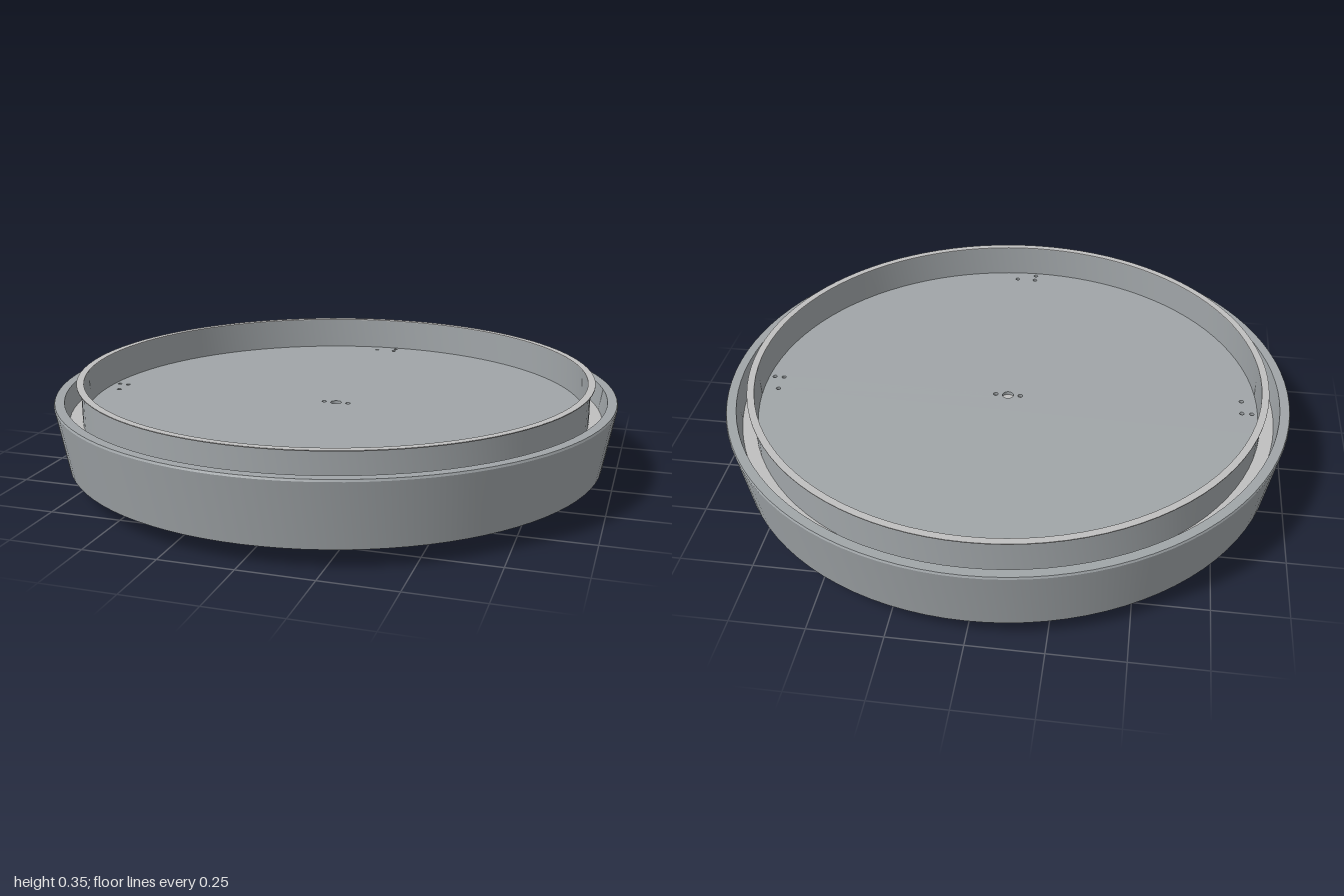
import * as THREE from 'three';
import { toCreasedNormals } from 'three/addons/utils/BufferGeometryUtils.js';

const SEG = 96;

export function createModel() {
  const model = new THREE.Group();
  model.name = 'roundTrayLamp';

  const metal = new THREE.MeshStandardMaterial({ color: 0xa0a5a8 });
  metal.name = 'blue grey metal';
  const pale = new THREE.MeshStandardMaterial({ color: 0xbfbfbf });
  pale.name = 'pale grey';

  const add = (name, geometry, material, y = 0) => {
    const mesh = new THREE.Mesh(geometry, material);
    mesh.name = name;
    mesh.position.y = y;
    model.add(mesh);
    return mesh;
  };

  // Profiles run up the outside and back down the inside
  const turned = (points) => toCreasedNormals(
    new THREE.LatheGeometry(points.map(([r, y]) => new THREE.Vector2(r, y)), SEG), 0.4);

  // Flared outer ring
  add('outerRing', turned([
    [0.925, 0.065], [0.96, 0.065], [1.0, 0.288], [0.997, 0.295],
    [0.964, 0.295], [0.925, 0.065],
  ]), metal);

  // Sloped reflector with a flat ceiling, closing the gap inside the ring
  add('reflector', turned([
    [0, 0.21], [0.8, 0.21], [0.923, 0.067], [0.925, 0.067],
    [0.951, 0.22], [0, 0.22],
  ]), pale);

  // Upright tray wall
  add('trayWall', turned([
    [0.895, 0.22], [0.905, 0.22], [0.905, 0.352], [0.895, 0.352], [0.895, 0.22],
  ]), metal);

  // Thin lip on top of the tray wall
  add('trayLip', turned([
    [0.895, 0.352], [0.92, 0.352], [0.92, 0.355], [0.895, 0.355], [0.895, 0.352],
  ]), pale);

  // Tray floor with screw holes: [x, z, radius]
  const holes = [[0, 0, 0.02], [-0.045, 0, 0.009], [0.045, 0, 0.009]];
  for (let i = 0; i < 4; i++) {
    const a = i * Math.PI / 2, c = Math.round(Math.cos(a)), s = Math.round(Math.sin(a));
    for (const [x, z] of [[0.84, 0], [0.875, 0], [0.84, -0.073]]) {
      holes.push([x * c - z * s, x * s + z * c, 0.008]);
    }
  }
  const floor = new THREE.Shape().absarc(0, 0, 0.897, 0, Math.PI * 2, false);
  for (const [x, z, r] of holes) {
    floor.holes.push(new THREE.Path().absarc(x, -z, r, 0, Math.PI * 2, true));
  }
  const floorGeometry = new THREE.ExtrudeGeometry(floor, {
    depth: 0.012, bevelEnabled: false, curveSegments: 48,
  });
  floorGeometry.rotateX(-Math.PI / 2);
  add('trayFloor', floorGeometry, metal, 0.223);

  // Stem and base disc
  add('stem', new THREE.CylinderGeometry(0.057, 0.057, 0.165, 32), metal, 0.1325);
  add('baseDisc', new THREE.CylinderGeometry(0.53, 0.53, 0.055, SEG), metal, 0.0275);

  return model;
}
